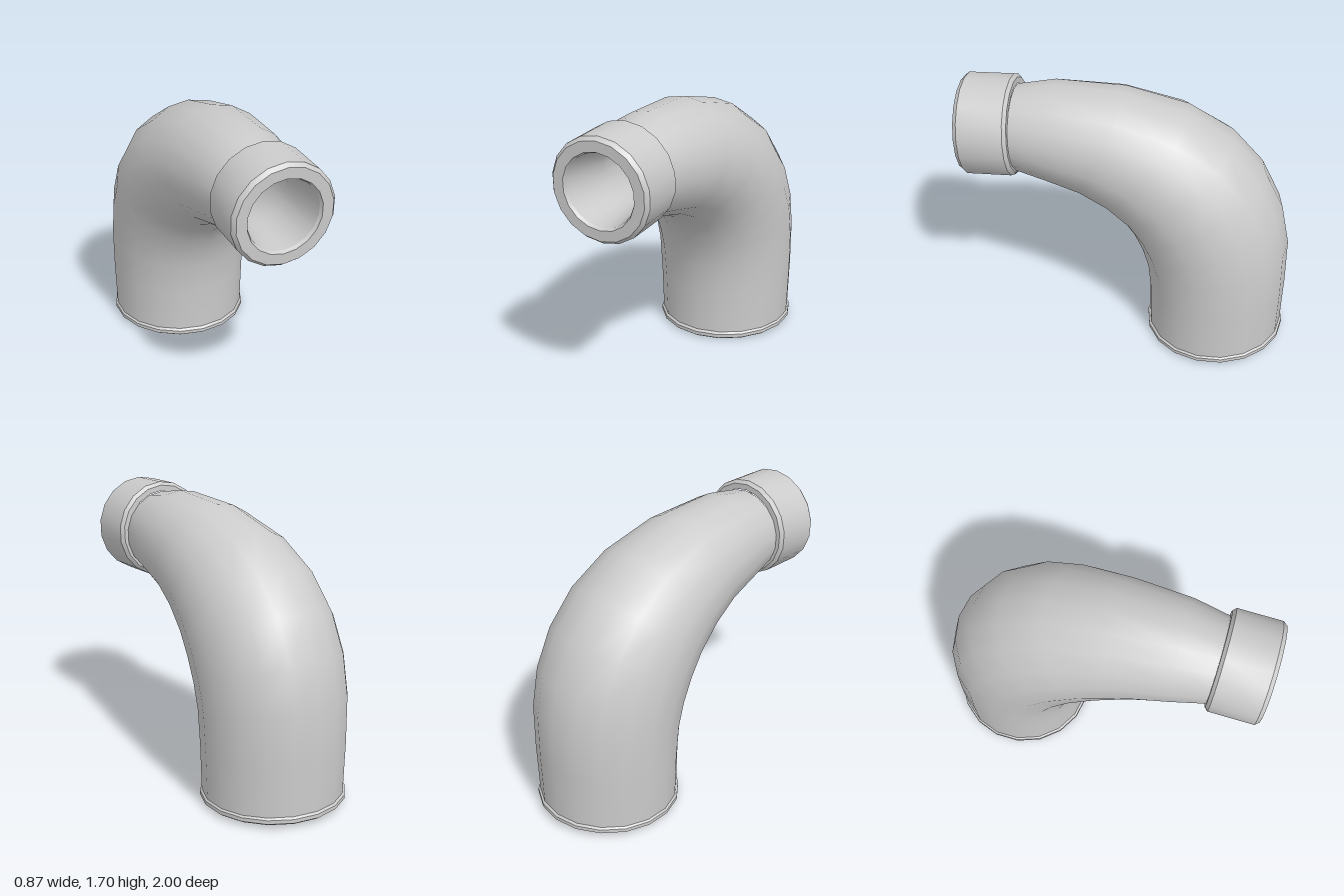
import * as THREE from 'three';
import { toCreasedNormals } from 'three/addons/utils/BufferGeometryUtils.js';

const SIDES = 18;
const material = new THREE.MeshStandardMaterial({ color: 0xcccccc });

// A ring is an ellipse: centre (y, z), "up" half-axis (uy, uz), half-width rx along x.
// Rings run from the base towards the collar for outward faces, back again for inward ones.
function loft(name, rings) {
  const pos = [], index = [];
  for (const g of rings) {
    for (let j = 0; j < SIDES; j++) {
      const a = (j / SIDES) * Math.PI * 2, c = Math.cos(a);
      pos.push(g.rx * Math.sin(a), g.y + g.uy * c, g.z + g.uz * c);
    }
  }
  for (let i = 0; i < rings.length - 1; i++) {
    for (let j = 0; j < SIDES; j++) {
      const k = (j + 1) % SIDES;
      const a = i * SIDES + j, b = i * SIDES + k;
      index.push(a, a + SIDES, b, b, a + SIDES, b + SIDES);
    }
  }
  const geo = new THREE.BufferGeometry();
  geo.setAttribute('position', new THREE.Float32BufferAttribute(pos, 3));
  geo.setIndex(index);
  const mesh = new THREE.Mesh(toCreasedNormals(geo, 0.62), material);
  mesh.name = name;
  return mesh;
}

// Ring spanning the inside of the bend (zi, yi) to the outside (zo, yo)
const span = ([zi, yi, zo, yo, rx]) => ({
  y: (yi + yo) / 2, z: (zi + zo) / 2, uy: (yo - yi) / 2, uz: (zo - zi) / 2, rx,
});

// Circular ring of radius r, moved t along the axis of a tilted end frame
const disc = (f, t, r) => ({
  y: f.y - f.uz * t, z: f.z + f.uy * t, uy: f.uy * r, uz: f.uz * r, rx: r,
});

const scaled = (g, s) => ({ ...g, uy: g.uy * s, uz: g.uz * s, rx: g.rx * s });

export function createModel() {
  const group = new THREE.Group();

  // Tapering elbow
  const elbow = [
    [-0.14, 0.04, -0.985, 0.07, 0.425],
    [-0.135, 0.33, -0.99, 0.4, 0.435],
    [-0.115, 0.52, -0.985, 0.7, 0.44],
    [-0.08, 0.64, -0.93, 0.96, 0.443],
    [-0.03, 0.75, -0.81, 1.2, 0.44],
    [0.04, 0.85, -0.62, 1.41, 0.425],
    [0.16, 0.95, -0.35, 1.57, 0.395],
    [0.3, 1.02, 0.03, 1.67, 0.35],
    [0.47, 1.07, 0.45, 1.685, 0.305],
    [0.66, 1.12, 0.68, 1.64, 0.26],
  ].map(span);
  group.add(loft('elbow', elbow));

  // Thin rim around the wide lower opening
  const base = { y: 0.016, z: -0.563, uy: 0.03, uz: -1 };
  group.add(loft('baseRim', [
    [0.02, 0.285], [0, 0.295], [0, 0.42], [0.012, 0.436], [0.035, 0.436], [0.05, 0.42],
  ].map(([t, r]) => disc(base, t, r))));

  // Collar around the narrow upper opening
  const mouth = { y: 1.383, z: 0.985, uy: 1, uz: 0.04 };
  group.add(loft('collar', [
    [-0.315, 0.25], [-0.315, 0.285], [-0.295, 0.305], [-0.025, 0.305],
    [0, 0.285], [0, 0.222], [-0.02, 0.212],
  ].map(([t, r]) => disc(mouth, t, r))));

  // Inner wall running from the mouth back down to the base
  group.add(loft('bore', [
    disc(mouth, -0.02, 0.212),
    ...elbow.map((g) => scaled(g, 0.67)).reverse(),
    disc(base, 0.02, 0.285),
  ]));

  return group;
}
